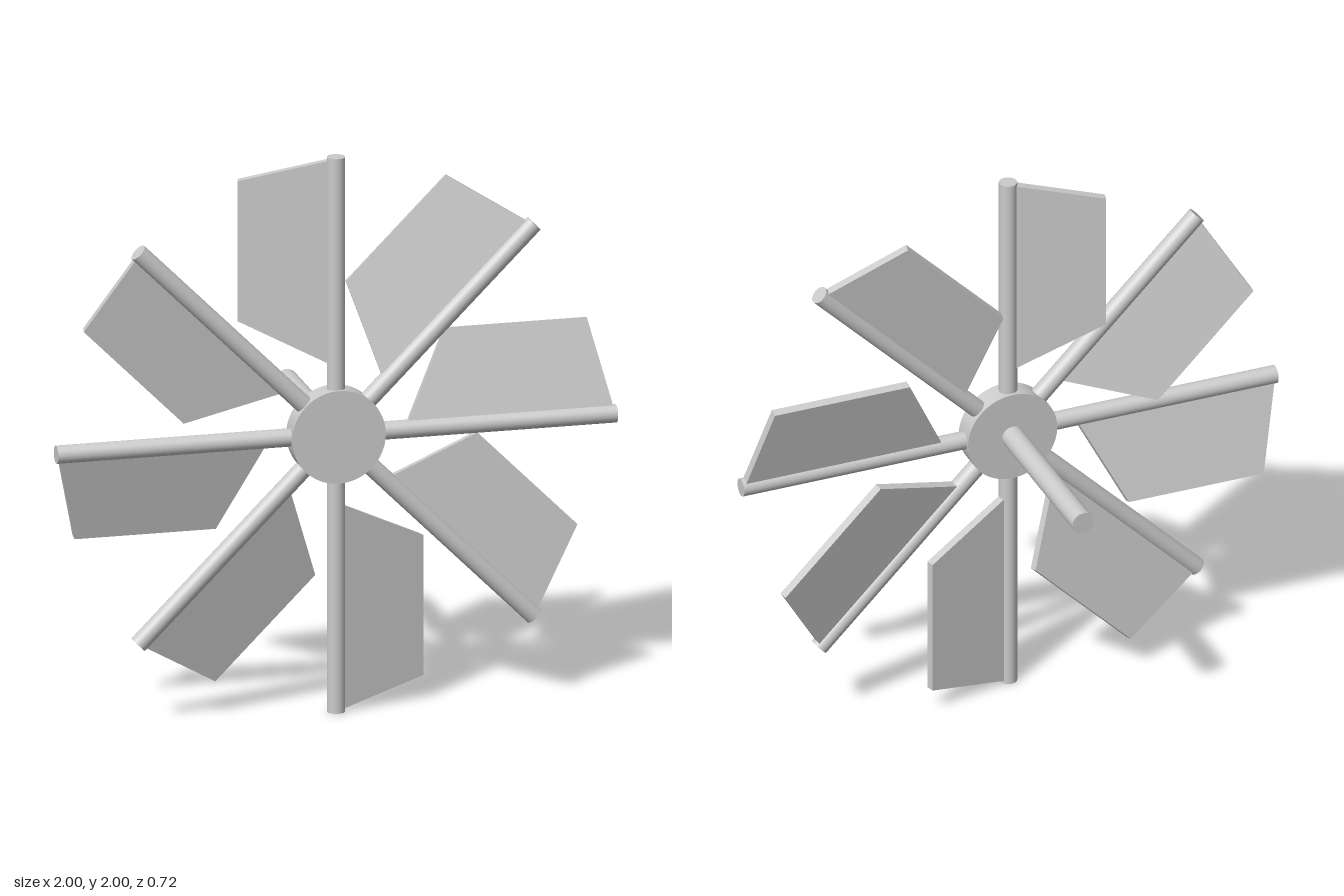
import * as THREE from 'three';

const COUNT = 8, PITCH = THREE.MathUtils.degToRad(15);
const HUB_Z = 0.318, SPOKE_R = 0.032, THICK = 0.03;

export function createModel() {
  const model = new THREE.Group();
  model.name = 'windWheel';
  const mat = new THREE.MeshStandardMaterial({ color: 0xcccccc });
  const add = (parent, geometry, name) => {
    const mesh = new THREE.Mesh(geometry, mat);
    mesh.name = name;
    parent.add(mesh);
    return mesh;
  };

  // hub disc and the shaft running back from it
  const hub = new THREE.CylinderGeometry(0.167, 0.167, 0.085, 64).rotateX(Math.PI / 2);
  add(model, hub, 'hub').position.set(0, 1, HUB_Z);
  const shaft = new THREE.CylinderGeometry(0.04, 0.04, 0.64, 40).rotateX(Math.PI / 2);
  add(model, shaft, 'shaft').position.set(0, 1, -0.04);

  // spoke pointing along +x
  const spoke = new THREE.CylinderGeometry(SPOKE_R, SPOKE_R, 0.88, 32)
    .rotateZ(-Math.PI / 2).translate(0.56, 0, 0);

  // flat four-sided blade, hinged on the spoke axis and pitched backwards
  const outline = new THREE.Shape([[0.245, 0], [0.995, 0], [0.915, 0.34], [0.41, 0.34]]
    .map(([x, y]) => new THREE.Vector2(x, y)));
  const blade = new THREE.ExtrudeGeometry(outline, { depth: THICK, bevelEnabled: false })
    .translate(0, 0, -THICK / 2).rotateX(-PITCH);

  // arms around the hub
  for (let i = 0; i < COUNT; i++) {
    const arm = new THREE.Group();
    arm.name = `arm${i + 1}`;
    arm.position.set(0, 1, HUB_Z);
    arm.rotation.z = (i / COUNT) * Math.PI * 2;
    add(arm, spoke, 'spoke');
    add(arm, blade, 'blade');
    model.add(arm);
  }
  return model;
}
